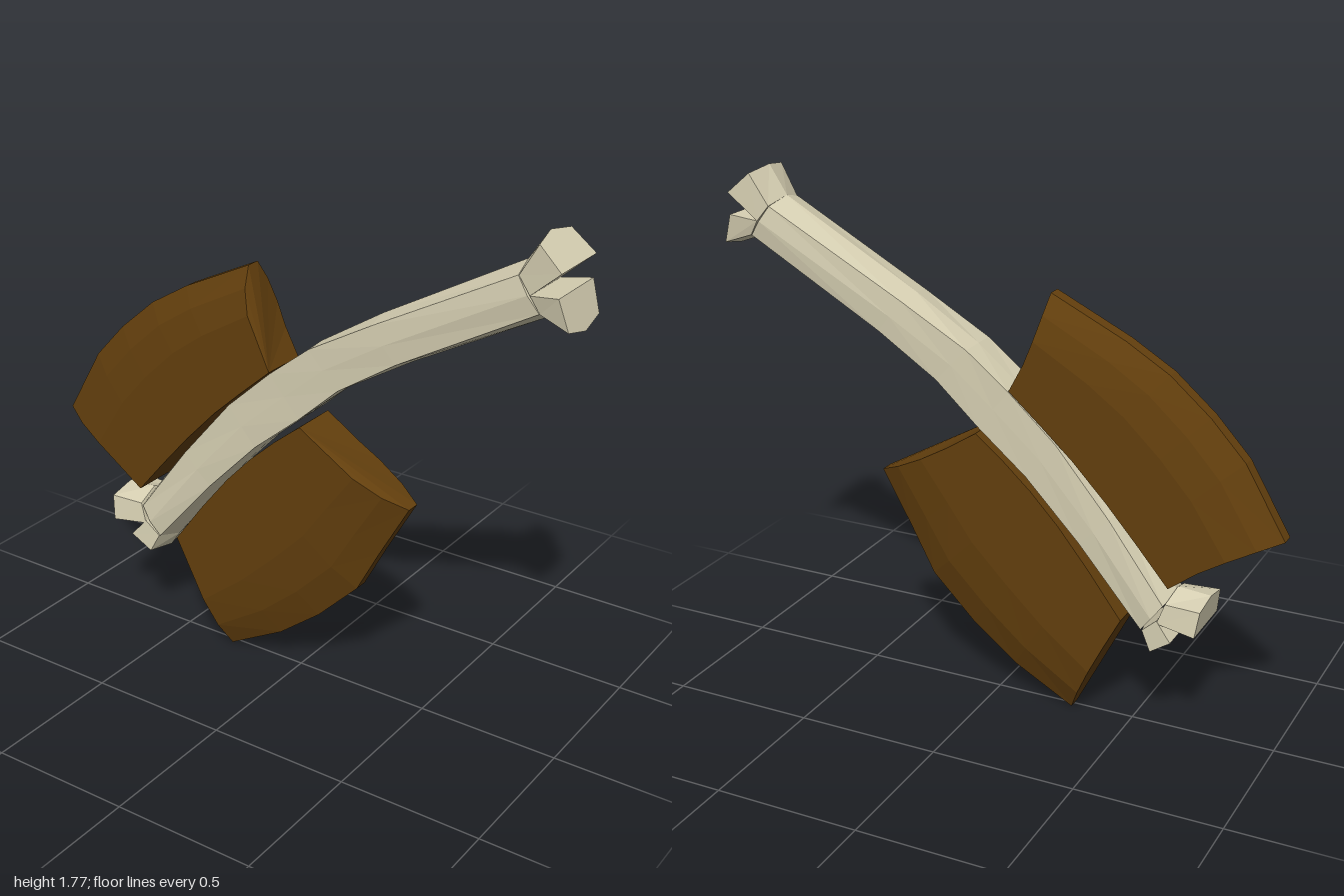
import * as THREE from 'three';

// Closed, flat-faced skin over a row of equal-length rings of [x, y, z] points
function loft(rings) {
  const n = rings[0].length, tris = [];
  for (let i = 0; i < rings.length - 1; i++) {
    for (let j = 0; j < n; j++) {
      const k = (j + 1) % n;
      const a = rings[i][j], b = rings[i][k], c = rings[i + 1][k], d = rings[i + 1][j];
      tris.push([a, b, c], [a, c, d]);
    }
  }
  const last = rings[rings.length - 1];
  for (let j = 1; j < n - 1; j++) {
    tris.push([rings[0][0], rings[0][j + 1], rings[0][j]], [last[0], last[j], last[j + 1]]);
  }
  // Turn the faces outwards if the enclosed volume comes out negative
  const v = tris.map(t => t.map(p => new THREE.Vector3(...p)));
  const volume = v.reduce((s, [a, b, c]) => s + a.dot(b.clone().cross(c)), 0);
  const pos = tris.flatMap(([a, b, c]) => (volume < 0 ? [a, c, b] : [a, b, c]).flat());
  const g = new THREE.BufferGeometry();
  g.setAttribute('position', new THREE.Float32BufferAttribute(pos, 3));
  g.computeVertexNormals();
  return g;
}

const mix = (a, b, t) => [a[0] + (b[0] - a[0]) * t, a[1] + (b[1] - a[1]) * t];

// Mirrors a half outline of [x, y, z] points to the back; points at z = 0 are shared
const mirrorRing = half =>
  [...half, ...half.filter(p => p[2] > 0).reverse().map(p => [p[0], p[1], -p[2]])];

// Eight-point shaft section between its top and bottom ridges
function shaftRing([top, bottom, bevel, z, mid]) {
  return mirrorRing([
    [...top, 0], [...mix(top, bottom, bevel), z], [...mix(top, bottom, 0.5), mid],
    [...mix(top, bottom, 1 - bevel), z], [...bottom, 0],
  ]);
}

// Five-point knob section: ridge on the outer side, flat on the inner side
function knobRing(outer, inner, bevel, zOuter, zInner) {
  return mirrorRing([[...outer, 0], [...mix(outer, inner, bevel), zOuter], [...inner, zInner]]);
}

// Blade: columns run along the cutting edge, rows from the shaft to the edge
function blade(inner, outer, bowStart, bowEnd) {
  const rows = [[0, 0.085], [0.3, 0.085], [0.55, 0.085], [0.8, 0.064], [1, 0.025]];
  return loft(inner.map((p, i) => {
    const bow = mix(bowStart, bowEnd, i / (inner.length - 1));
    return mirrorRing(rows.map(([t, z]) => {
      const q = mix(p, outer[i], t), k = 4 * t * (1 - t);
      return [q[0] + bow[0] * k, q[1] + bow[1] * k, z];
    }));
  }));
}

export function createModel() {
  const group = new THREE.Group();
  const bone = new THREE.MeshStandardMaterial({ color: 0xd6cfb2 });
  bone.name = 'bone';
  const brown = new THREE.MeshStandardMaterial({ color: 0x633f0d });
  brown.name = 'darkBrown';
  const add = (name, geometry, material) => {
    const m = new THREE.Mesh(geometry, material);
    m.name = name;
    group.add(m);
  };

  // Curved bone shaft: top ridge, bottom ridge, bevel, corner z, middle z
  const sections = [
    [[-0.645, 0.51], [-0.535, 0.365], 0.16, 0.09, 0.1],
    [[-0.44, 0.76], [-0.315, 0.64], 0.08, 0.085, 0.09],
    [[-0.24, 0.98], [-0.13, 0.845], 0.02, 0.083, 0.085],
    [[-0.07, 1.13], [0.045, 0.995], 0, 0.083, 0.083],
    [[0.08, 1.255], [0.2, 1.13], 0.03, 0.083, 0.085],
    [[0.31, 1.4], [0.42, 1.26], 0.1, 0.085, 0.09],
    [[0.8, 1.675], [0.905, 1.525], 0.15, 0.09, 0.1],
  ];
  add('shaft', loft(sections.map(shaftRing)), bone);

  // Split knobs at both ends: outer root, inner root, outer tip, inner tip
  const knobs = {
    upperTopKnob: [[0.8, 1.675], [0.86, 1.6], [0.865, 1.775], [0.962, 1.69]],
    lowerTopKnob: [[0.905, 1.525], [0.86, 1.6], [0.997, 1.492], [0.958, 1.615]],
    upperBottomKnob: [[-0.645, 0.525], [-0.61, 0.425], [-0.76, 0.515], [-0.745, 0.408]],
    lowerBottomKnob: [[-0.535, 0.365], [-0.61, 0.435], [-0.575, 0.308], [-0.665, 0.372]],
  };
  for (const [name, [ro, ri, to, ti]] of Object.entries(knobs)) {
    add(name, loft([knobRing(ro, ri, 0.3, 0.09, 0.098), knobRing(to, ti, 0.18, 0.1, 0.112)]), bone);
  }

  // Two broad blades either side of the shaft
  add('upperBlade', blade(
    [[-0.64, 0.55], [-0.53, 0.68], [-0.42, 0.805], [-0.3, 0.93], [-0.19, 1.03], [-0.07, 1.135]],
    [[-1, 0.76], [-0.86, 1], [-0.74, 1.13], [-0.6, 1.25], [-0.45, 1.34], [-0.19, 1.465]],
    [-0.01, -0.015].map(v => -v), [-0.018, -0.002]), brown);
  add('lowerBlade', blade(
    [[-0.48, 0.4], [-0.36, 0.56], [-0.25, 0.695], [-0.15, 0.8], [-0.05, 0.89], [0.05, 0.97]],
    [[-0.285, 0.002], [-0.07, 0.12], [0.09, 0.245], [0.245, 0.4], [0.33, 0.56], [0.44, 0.755]],
    [0.005, 0], [-0.005, -0.01]), brown);

  return group;
}
